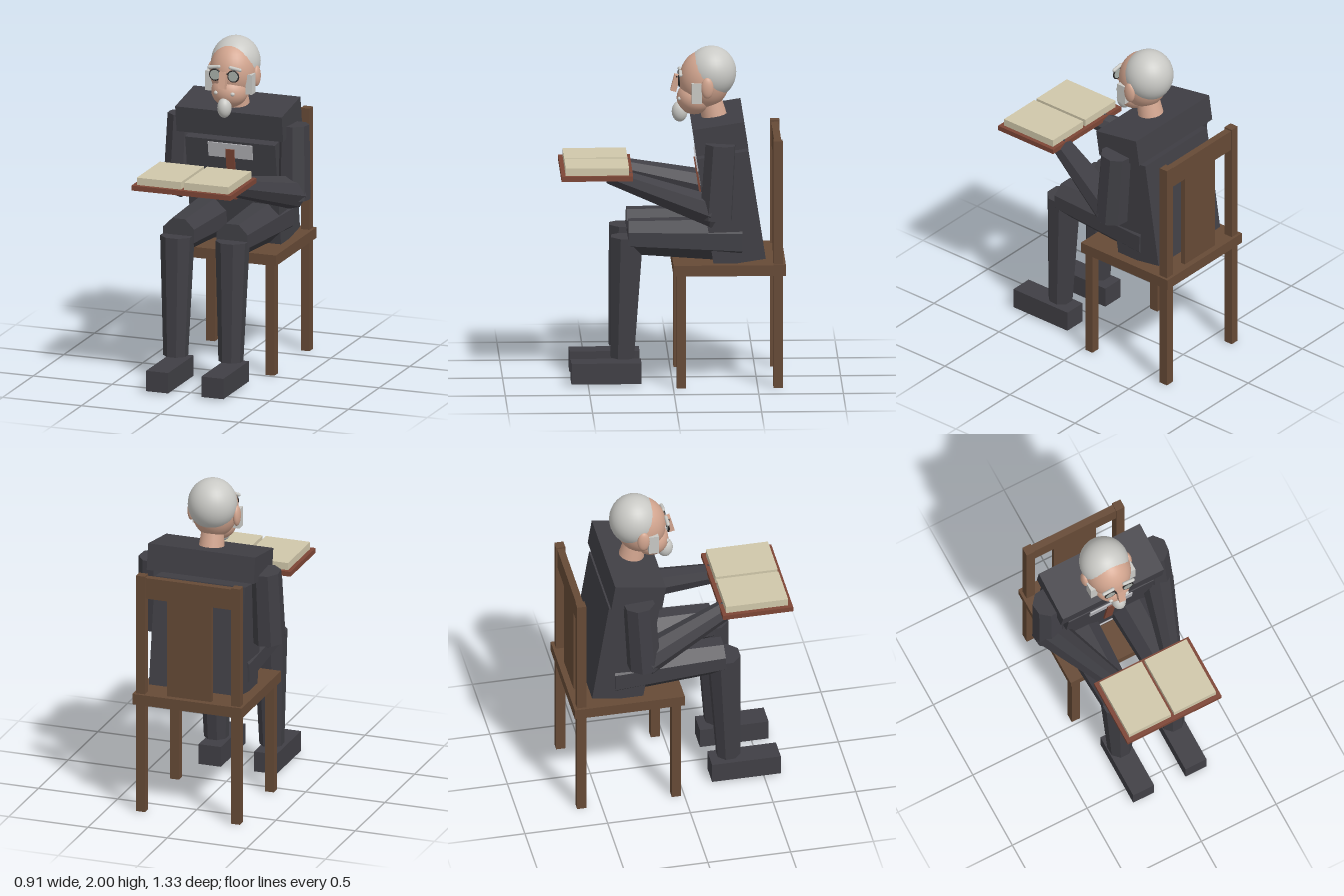
import * as THREE from 'three';

const mat = (name, color, opts = {}) => {
  const m = new THREE.MeshStandardMaterial({ color, ...opts });
  m.name = name;
  return m;
};

export function createModel() {
  const root = new THREE.Group();
  root.name = 'seatedReader';

  const wood = mat('chair wood', 0x664a36);
  const suit = mat('dark suit', 0x403f45, { flatShading: true });
  const shirt = mat('shirt grey', 0xb4b4b8);
  const leather = mat('red leather', 0x7d4636);
  const paper = mat('paper', 0xd0c7aa);
  const skin = mat('skin', 0xd2a58f);
  const hair = mat('grey hair', 0xc9c9c5);
  const lens = mat('lens glass', 0xa9b0aa);
  const frame = mat('spectacle frame', 0x2c2a2a);

  const add = (name, geo, material, pos, parent = root) => {
    const mesh = new THREE.Mesh(geo, material);
    mesh.name = name;
    mesh.position.set(...pos);
    parent.add(mesh);
    return mesh;
  };
  const box = (name, size, pos, material, parent) =>
    add(name, new THREE.BoxGeometry(...size), material, pos, parent);
  const ball = (name, radii, pos, material, parent) =>
    add(name, new THREE.SphereGeometry(1, 32, 20).scale(...radii), material, pos, parent);
  // Tapered eight-sided limb from point a to point b
  const limb = (name, a, b, ra, rb, material = suit, sides = 8) => {
    const p = new THREE.Vector3(...a), q = new THREE.Vector3(...b);
    const d = q.clone().sub(p);
    const geo = new THREE.CylinderGeometry(rb, ra, d.length(), sides).rotateY(Math.PI / sides);
    const mesh = add(name, geo, material, p.add(q).multiplyScalar(0.5).toArray());
    mesh.quaternion.setFromUnitVectors(new THREE.Vector3(0, 1, 0), d.normalize());
    return mesh;
  };

  // Chair
  const chair = new THREE.Group();
  chair.name = 'chair';
  root.add(chair);
  box('seat', [0.69, 0.065, 0.665], [0, 0.713, -0.333], wood, chair);
  for (const s of [-1, 1]) {
    box('frontLeg', [0.055, 0.69, 0.055], [s * 0.3, 0.345, -0.048], wood, chair);
    box('backPost', [0.055, 1.49, 0.055], [s * 0.3, 0.745, -0.62], wood, chair);
  }
  box('topRail', [0.55, 0.13, 0.042], [0, 1.415, -0.62], wood, chair);
  box('backSplat', [0.28, 0.62, 0.028], [0, 1.05, -0.615], wood, chair);

  // Leaning torso with shirt and tie
  const lean = 0.155;
  const torso = new THREE.Group();
  torso.name = 'torso';
  torso.position.set(0, 1.074, -0.344);
  torso.rotation.x = lean;
  root.add(torso);
  box('jacket', [0.57, 0.66, 0.31], [0, 0, 0], suit, torso);
  box('shirtFront', [0.28, 0.09, 0.009], [0, 0.27, 0.159], shirt, torso);
  box('necktie', [0.054, 0.32, 0.012], [0, 0.122, 0.166], leather, torso);
  box('waistband', [0.18, 0.014, 0.008], [0, -0.253, 0.158], shirt, torso);
  box('shoulders', [0.676, 0.16, 0.31], [0, 1.508, -0.278], suit).rotation.x = lean;

  // Limbs, hands and shoes
  for (const s of [-1, 1]) {
    limb('thigh', [s * 0.17, 0.872, -0.41], [s * 0.17, 0.89, 0.265], 0.138, 0.107);
    limb('shin', [s * 0.175, 0.89, 0.27], [s * 0.175, 0.16, 0.297], 0.102, 0.074);
    box('shoe', [0.14, 0.125, 0.415], [s * 0.175, 0.073, 0.393], suit);
    limb('upperArm', [s * 0.35, 1.48, -0.278], [s * 0.36, 1.03, -0.25], 0.094, 0.1);
    limb('forearm', [s * 0.36, 1.07, -0.25], [s * 0.15, 1.255, 0.37], 0.1, 0.055);
    box('hand', [0.11, 0.025, 0.16], [s * 0.13, 1.246, 0.455], skin);
  }

  // Open book
  box('bookCover', [0.63, 0.03, 0.424], [0, 1.267, 0.449], leather);
  for (const s of [-1, 1]) box('pages', [0.28, 0.045, 0.375], [s * 0.15, 1.304, 0.448], paper);

  // Head
  limb('neck', [0, 1.54, -0.26], [0, 1.7, -0.225], 0.08, 0.065, skin, 20);
  const head = new THREE.Group();
  head.name = 'head';
  root.add(head);
  ball('face', [0.14, 0.175, 0.15], [0, 1.8, -0.195], skin, head);
  ball('jaw', [0.11, 0.1, 0.105], [0, 1.69, -0.135], skin, head);
  ball('hairCap', [0.147, 0.156, 0.148], [0, 1.844, -0.235], hair, head);
  ball('beard', [0.042, 0.062, 0.047], [0, 1.607, -0.048], hair, head);
  box('nose', [0.042, 0.1, 0.035], [0, 1.78, -0.022], skin, head).rotation.x = -0.25;
  for (const s of [-1, 1]) {
    ball('ear', [0.022, 0.063, 0.037], [s * 0.143, 1.775, -0.207], skin, head);
    box('sideburn', [0.042, 0.12, 0.06], [s * 0.127, 1.742, -0.145], hair, head);
    ball('moustache', [0.014, 0.012, 0.012], [s * 0.052, 1.694, -0.045], hair, head);
    const brow = add('eyebrow', new THREE.CapsuleGeometry(0.011, 0.06, 4, 10).rotateZ(Math.PI / 2),
      hair, [s * 0.067, 1.85, -0.05], head);
    brow.rotation.z = -s * 0.15;
    // Spectacles
    add('lens', new THREE.CylinderGeometry(0.033, 0.033, 0.008, 24).rotateX(Math.PI / 2),
      lens, [s * 0.058, 1.805, -0.043], head);
    add('lensRim', new THREE.TorusGeometry(0.033, 0.005, 8, 28), frame, [s * 0.058, 1.805, -0.043], head);
  }
  box('spectacleBridge', [0.054, 0.008, 0.008], [0, 1.82, -0.03], frame, head);

  return root;
}
